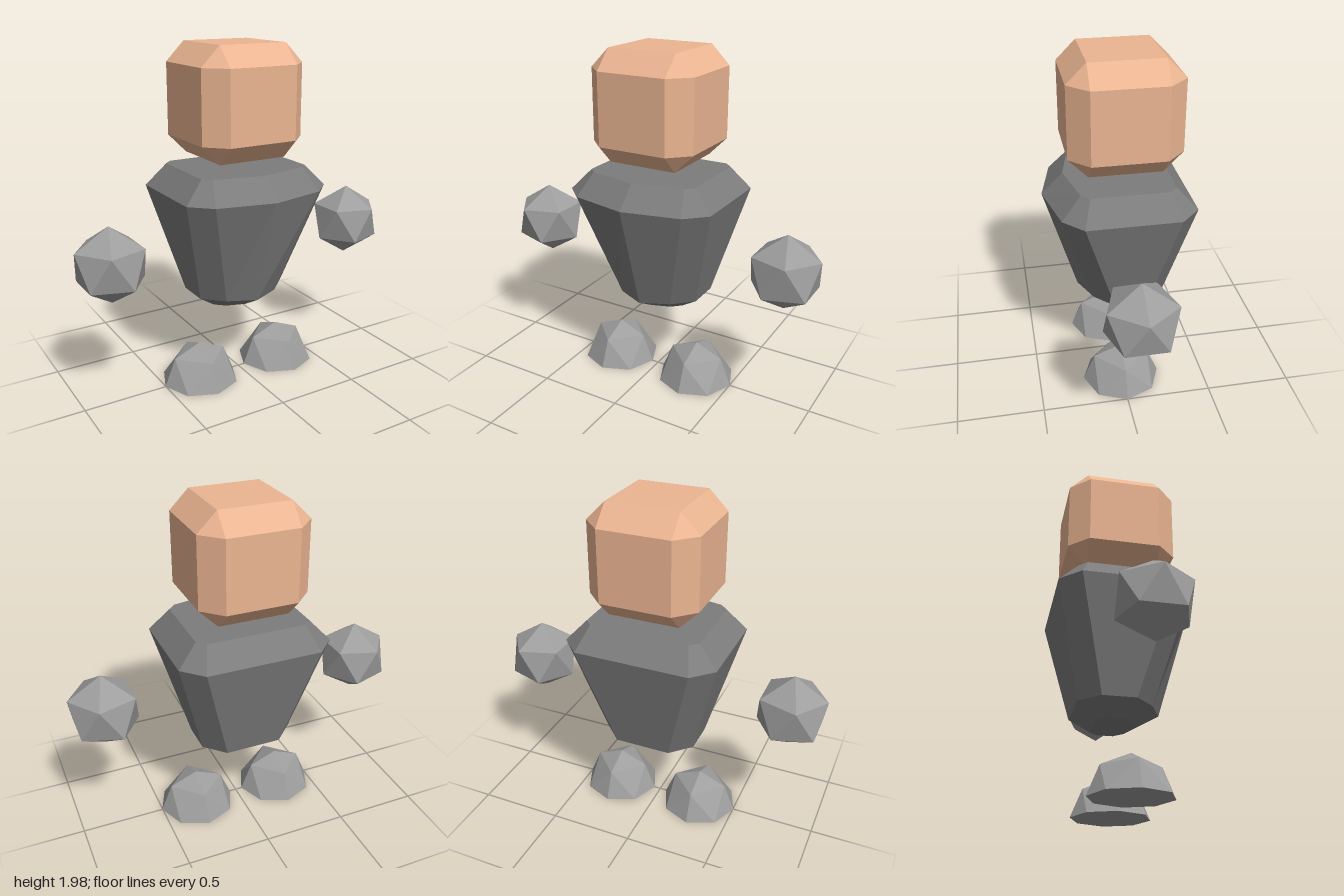
import * as THREE from 'three';
import { ConvexGeometry } from 'three/addons/geometries/ConvexGeometry.js';

const paint = (color) => new THREE.MeshStandardMaterial({ color, flatShading: true });
const skin = paint(0xebb592);
const cloth = paint(0x7c7c7c);
const limb = paint(0x9e9e9e);

function part(group, name, geometry, material, x, y, z) {
  const mesh = new THREE.Mesh(geometry, material);
  mesh.name = name;
  mesh.position.set(x, y, z);
  group.add(mesh);
  return mesh;
}

// Cube with chamfered edges and triangular corners
function chamferedCube(half, inner) {
  const points = [];
  for (const x of [-1, 1]) for (const y of [-1, 1]) for (const z of [-1, 1]) {
    points.push(
      new THREE.Vector3(x * half, y * inner, z * inner),
      new THREE.Vector3(x * inner, y * half, z * inner),
      new THREE.Vector3(x * inner, y * inner, z * half));
  }
  return new ConvexGeometry(points);
}

// Symmetric nine-sided ring from the front ridge round to the back corner, given on the +x side
function ring(y, half) {
  const mirrored = half.slice(1).reverse().map(([x, z]) => [-x, z]);
  return [...half, ...mirrored].map(([x, z]) => [x, y, z]);
}

// Skin stacked rings (bottom to top) and cap both ends
function loft(rings) {
  const n = rings[0].length;
  const index = [];
  for (let r = 0; r < rings.length - 1; r++) {
    for (let i = 0; i < n; i++) {
      const a = r * n + i, b = r * n + (i + 1) % n;
      index.push(a, b, b + n, a, b + n, a + n);
    }
  }
  const top = (rings.length - 1) * n;
  for (let i = 1; i < n - 1; i++) {
    index.push(0, i + 1, i);
    index.push(top, top + i, top + i + 1);
  }
  const geometry = new THREE.BufferGeometry();
  geometry.setAttribute('position', new THREE.Float32BufferAttribute(rings.flat(2), 3));
  geometry.setIndex(index);
  const flat = geometry.toNonIndexed();
  flat.computeVertexNormals();
  return flat;
}

// Icosahedron standing on a vertex, with an upper ring vertex pointing to +x
function handGeometry(radius) {
  const points = [new THREE.Vector3(0, radius, 0), new THREE.Vector3(0, -radius, 0)];
  const y = radius / Math.sqrt(5);
  for (let i = 0; i < 5; i++) {
    const a = i * Math.PI * 2 / 5;
    const c = 2 * y * Math.cos(a), s = 2 * y * Math.sin(a);
    points.push(new THREE.Vector3(c, y, s), new THREE.Vector3(-c, -y, s));
  }
  return new ConvexGeometry(points);
}

// Low-poly dome: lower half of a subdivided octahedron pressed flat
function footGeometry(radius) {
  const geometry = new THREE.OctahedronGeometry(radius, 1);
  const p = geometry.attributes.position;
  for (let i = 0; i < p.count; i++) p.setY(i, Math.max(0, p.getY(i)));
  geometry.computeVertexNormals();
  return geometry;
}

export function createModel() {
  const model = new THREE.Group();
  model.name = 'figure';

  part(model, 'head', chamferedCube(0.317, 0.206), skin, -0.005, 1.667, -0.038);

  // Torso tapers to the waist, with a ridge down the chest and evenly bevelled corners
  const torso = loft([
    ring(0.451, [[0, 0.08], [0.11, 0.042], [0.165, -0.01], [0.165, -0.108], [0.118, -0.155]]),
    ring(0.531, [[0, 0.22], [0.165, 0.145], [0.278, 0.035], [0.278, -0.157], [0.165, -0.27]]),
    ring(1.167, [[0, 0.41], [0.335, 0.335], [0.45, 0.225], [0.45, -0.3], [0.335, -0.415]]),
    ring(1.291, [[0, 0.288], [0.29, 0.225], [0.335, 0.18], [0.335, -0.255], [0.29, -0.3]]),
  ]);
  part(model, 'torso', torso, cloth, 0, 0, 0);

  // Hands and feet, mirrored
  for (const [side, label] of [[1, 'left'], [-1, 'right']]) {
    const hand = part(model, label + 'Hand', handGeometry(0.221), limb, side * 0.803, 0.836, 0);
    if (side < 0) hand.rotation.y = Math.PI;
    part(model, label + 'Foot', footGeometry(0.231), limb, side * 0.272, 0, 0);
  }
  return model;
}
